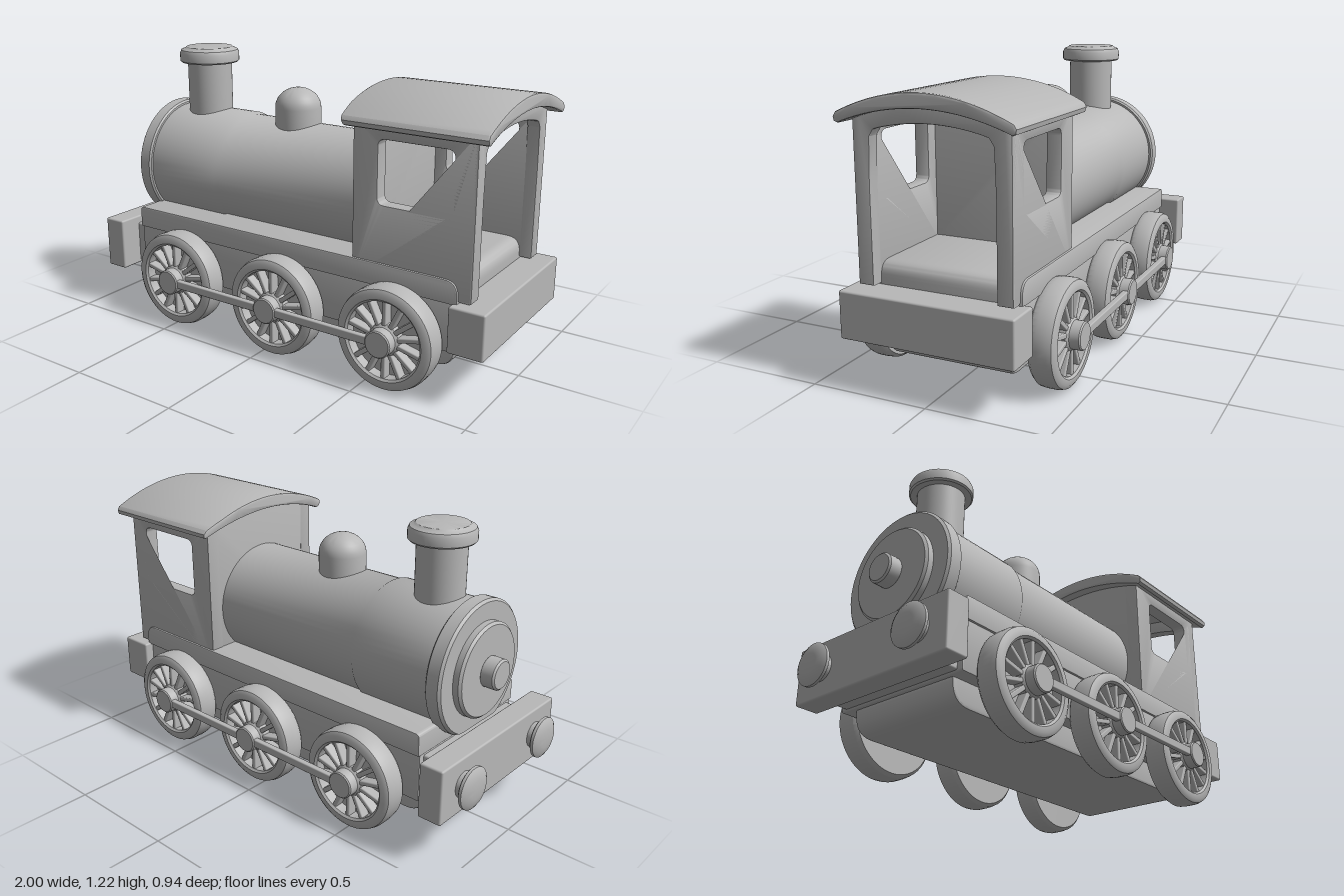
import * as THREE from 'three';
import { toCreasedNormals } from 'three/addons/utils/BufferGeometryUtils.js';
import { RoundedBoxGeometry } from 'three/addons/geometries/RoundedBoxGeometry.js';

const grey = new THREE.MeshStandardMaterial({ color: 0xb8b8b8 });
grey.name = 'plain grey';

export function createModel() {
  const model = new THREE.Group();
  model.name = 'steamLocomotive';

  const add = (name, geo, parent = model) => {
    const mesh = new THREE.Mesh(geo, grey);
    mesh.name = name;
    parent.add(mesh);
    return mesh;
  };
  // Turned part around the y axis, profile given as [radius, height] from bottom to top
  const turn = (pts, seg = 48) =>
    toCreasedNormals(new THREE.LatheGeometry(pts.map(p => new THREE.Vector2(...p)), seg), 0.6);
  // Turned part lying along x, profile as [radius, x] from rear to front
  const turnX = (pts, seg = 64) => turn(pts.map(([r, x]) => [r, -x]), seg).rotateZ(Math.PI / 2);
  // Box from its limits, with softened edges
  const box = (x0, x1, y0, y1, z0, z1, r = 0.008) =>
    new RoundedBoxGeometry(x1 - x0, y1 - y0, z1 - z0, 2, r)
      .translate((x0 + x1) / 2, (y0 + y1) / 2, (z0 + z1) / 2);
  // Extrusion from depth a to b with a small inset bevel
  const extrude = (shape, a, b, bevel = 0.006) =>
    toCreasedNormals(new THREE.ExtrudeGeometry(shape, {
      depth: b - a - 2 * bevel, bevelThickness: bevel, bevelSize: bevel,
      bevelOffset: -bevel, bevelSegments: 2, curveSegments: 10
    }).translate(0, 0, a + bevel), 0.6);
  // Rounded rectangle with one radius per corner: lower left, lower right, upper right, upper left
  const roundRect = (x0, x1, y0, y1, [a, b, c, d], path = new THREE.Shape()) => {
    path.moveTo(x0 + a, y0);
    path.lineTo(x1 - b, y0).quadraticCurveTo(x1, y0, x1, y0 + b);
    path.lineTo(x1, y1 - c).quadraticCurveTo(x1, y1, x1 - c, y1);
    path.lineTo(x0 + d, y1).quadraticCurveTo(x0, y1, x0, y1 - d);
    path.lineTo(x0, y0 + a).quadraticCurveTo(x0, y0, x0 + a, y0);
    return path;
  };
  // Points of a shallow arch from -half to +half
  const arch = (half, crown, drop, n = 24) => Array.from({ length: n + 1 }, (_, i) => {
    const t = (i / n) * 2 - 1;
    return new THREE.Vector2(t * half, crown - drop * t * t);
  });

  // Chassis
  add('runningBoard', extrude(roundRect(-0.775, 0.865, 0.395, 0.492, [0.005, 0.005, 0.06, 0.02]), -0.335, 0.335));
  add('frame', extrude(roundRect(-0.775, 0.87, 0.192, 0.40, [0.01, 0.01, 0.005, 0.005]), -0.325, 0.325));
  add('underTank', extrude(roundRect(-0.755, 0.83, 0.09, 0.22, [0.09, 0.09, 0.005, 0.005]), -0.262, 0.262, 0.01));
  add('frontBeam', box(-0.935, -0.83, 0.19, 0.425, -0.405, 0.405));
  add('frontBeamMount', box(-0.84, -0.76, 0.2, 0.39, -0.3, 0.3));
  add('rearBeam', box(0.845, 0.997, 0.21, 0.402, -0.367, 0.367));

  // Buffers
  for (const z of [-0.26, 0.26]) {
    add('buffer', turnX([[0.055, -0.92], [0.055, -0.963], [0.078, -0.963], [0.088, -0.97],
      [0.088, -0.982], [0.07, -0.993], [0.04, -0.998], [0, -1]], 32)).position.set(0, 0.31, z);
  }

  // Boiler, slightly thicker smokebox, and front plates
  const boiler = new THREE.Group();
  boiler.name = 'boiler';
  boiler.position.y = 0.666;
  model.add(boiler);
  add('boilerBarrel', turnX([[0, 0.41], [0.256, 0.41], [0.256, -0.365], [0.266, -0.38], [0.266, -0.77]]), boiler);
  const ring = new THREE.LatheGeometry([[0, 0.75], [0.275, 0.75], [0.283, 0.757], [0.283, 0.81], [0.273, 0.82], [0, 0.82]]
    .map(p => new THREE.Vector2(...p)), 64).rotateZ(Math.PI / 2);
  // Flatten the ring where it rests above the beam
  const rp = ring.attributes.position;
  for (let i = 0; i < rp.count; i++) rp.setY(i, Math.max(rp.getY(i), -0.243));
  add('smokeboxRing', toCreasedNormals(ring, 0.6), boiler);
  add('smokeboxDoor', turnX([[0.198, -0.81], [0.198, -0.845], [0.188, -0.855], [0, -0.855]]), boiler);
  add('doorKnob', turnX([[0.058, -0.85], [0.064, -0.856], [0.064, -0.908], [0.056, -0.915], [0, -0.915]], 32), boiler);

  // Chimney and steam dome
  add('chimney', turn([[0.102, 0.87], [0.102, 1.148], [0.13, 1.148], [0.137, 1.155], [0.137, 1.19],
    [0.13, 1.205], [0.112, 1.212], [0.106, 1.218], [0, 1.218]])).position.x = -0.607;
  const dome = [[0.102, 0.86], [0.102, 0.99]];
  for (let i = 1; i <= 8; i++) {
    const a = (i / 8) * Math.PI / 2;
    dome.push([i === 8 ? 0 : 0.102 * Math.cos(a), 0.99 + 0.087 * Math.sin(a)]);
  }
  add('steamDome', turn(dome)).position.x = -0.1;

  // Cab side walls with windows
  for (const s of [-1, 1]) {
    const side = roundRect(0.393, 0.918, 0.41, 1.065, [0.005, 0.005, 0.005, 0.005]);
    side.holes.push(roundRect(0.505, 0.826, 0.73, 0.99, [0.03, 0.03, 0.03, 0.03], new THREE.Path()));
    add('cabSide', extrude(side, s > 0 ? 0.262 : -0.326, s > 0 ? 0.326 : -0.262));
  }
  // Cab end walls: solid at the front, open archway at the rear
  const frontWall = new THREE.Shape([...arch(0.322, 1.115, 0.06), new THREE.Vector2(0.322, 0.42), new THREE.Vector2(-0.322, 0.42)]);
  add('cabFrontWall', extrude(frontWall, 0.395, 0.45).rotateY(Math.PI / 2));
  const rearWall = new THREE.Shape([
    ...arch(0.326, 1.115, 0.06), new THREE.Vector2(0.326, 0.41), new THREE.Vector2(0.26, 0.41),
    new THREE.Vector2(0.26, 0.8), new THREE.Vector2(0.254, 0.98), new THREE.Vector2(0.235, 1.008),
    ...arch(0.21, 1.04, 0.025).reverse(), new THREE.Vector2(-0.235, 1.008),
    new THREE.Vector2(-0.254, 0.98), new THREE.Vector2(-0.26, 0.8),
    new THREE.Vector2(-0.26, 0.41), new THREE.Vector2(-0.326, 0.41)]);
  add('cabRearArch', extrude(rearWall, 0.865, 0.92).rotateY(Math.PI / 2));

  // Arched roof with drooping rounded eaves and a raked front edge
  const roofShape = new THREE.Shape([
    ...arch(0.36, 1.158, 0.086), new THREE.Vector2(0.371, 1.055), new THREE.Vector2(0.367, 1.037),
    new THREE.Vector2(0.352, 1.031), ...arch(0.33, 1.1, 0.06).reverse(), new THREE.Vector2(-0.352, 1.031),
    new THREE.Vector2(-0.367, 1.037), new THREE.Vector2(-0.371, 1.055)]);
  const roof = extrude(roofShape, 0.345, 0.976, 0.008).rotateY(Math.PI / 2);
  const p = roof.attributes.position;
  for (let i = 0; i < p.count; i++) {
    if (p.getX(i) < 0.5) p.setX(i, p.getX(i) + 0.3 * Math.max(0, 1.11 - p.getY(i)));
  }
  add('cabRoof', roof);

  // Spoked wheels
  const wheelXs = [-0.495, 0.05, 0.6], wheelY = 0.216;
  const discGeo = turn([[0, 0.32], [0.2, 0.32], [0.213, 0.335], [0.216, 0.36], [0.216, 0.4], [0.21, 0.42], [0.195, 0.43],
    [0.172, 0.43], [0.163, 0.422], [0.163, 0.378], [0, 0.378]], 56).rotateX(Math.PI / 2);
  const hubGeo = turn([[0.068, 0.37], [0.068, 0.415], [0.057, 0.425], [0.057, 0.465], [0.052, 0.47], [0, 0.47]], 32).rotateX(Math.PI / 2);
  const spokeGeo = new RoundedBoxGeometry(0.11, 0.02, 0.045, 1, 0.005).translate(0.115, 0, 0.397);
  for (const s of [0, 1]) {
    for (const x of wheelXs) {
      const wheel = new THREE.Group();
      wheel.name = 'wheel';
      wheel.position.set(x, wheelY, 0);
      wheel.rotation.y = s * Math.PI;
      add('wheelRim', discGeo, wheel);
      add('wheelHub', hubGeo, wheel);
      for (let i = 0; i < 14; i++) add('spoke', spokeGeo, wheel).rotation.z = (i + 0.5) / 14 * Math.PI * 2;
      model.add(wheel);
    }
    const z = s ? -0.452 : 0.452;
    add('couplingRod', box(-0.5, 0.605, wheelY - 0.017, wheelY + 0.02, z - 0.013, z + 0.013, 0.005));
  }
  return model;
}
